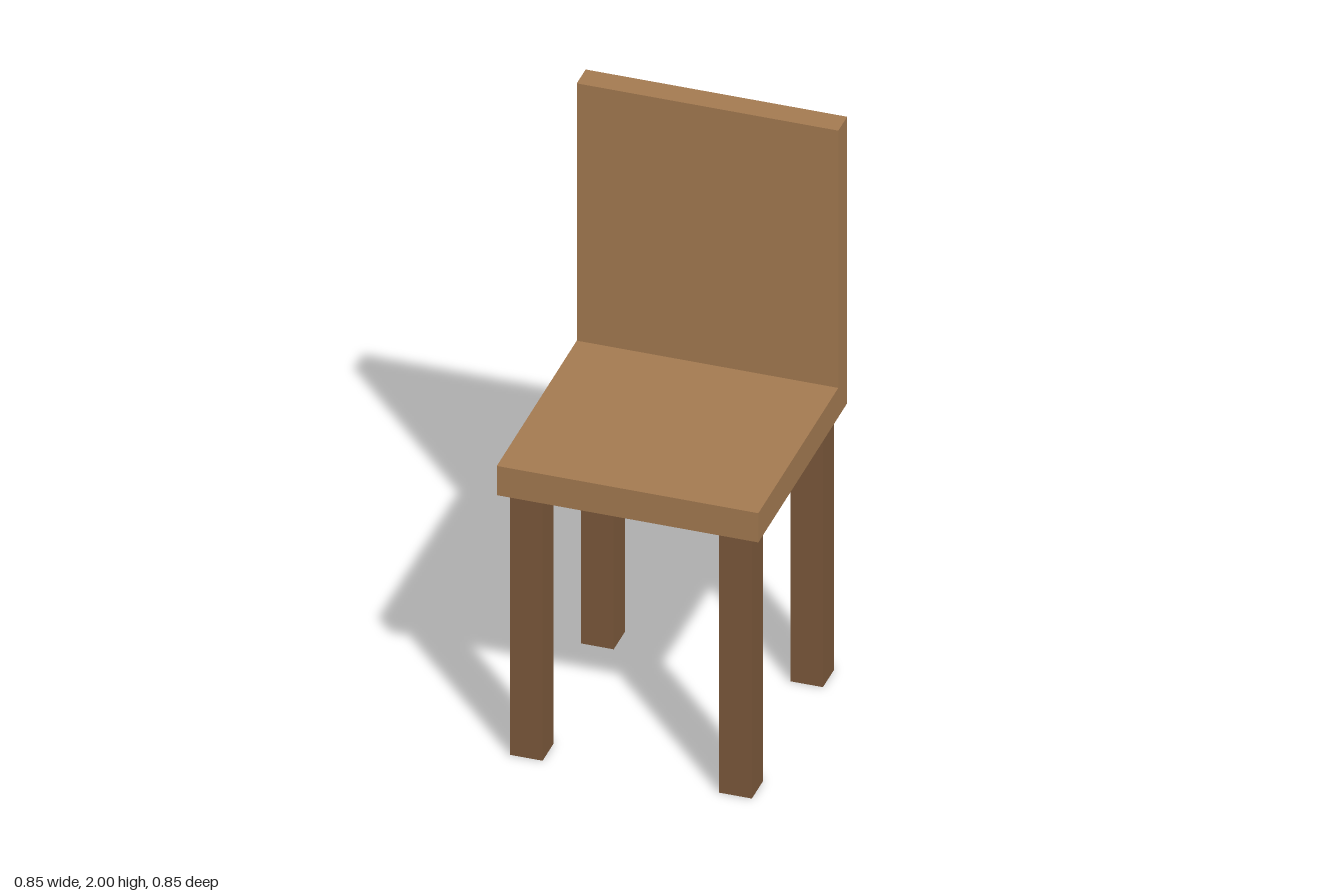
import * as THREE from 'three';

const HALF = 0.4255;       // half the seat width and depth
const LEG_HEIGHT = 0.9574;
const SEAT_TOP = 1.0638;
const BACK_FRONT = -0.3404; // front face of the backrest
const LEG_WIDTH = 0.1064;
const LEG_OFFSET = 0.3404;

export function createModel() {
  const lightWood = new THREE.MeshStandardMaterial({ color: 0xa67c52 });
  lightWood.name = 'light wood';
  const darkWood = new THREE.MeshStandardMaterial({ color: 0x7d5a3c });
  darkWood.name = 'dark wood';

  const chair = new THREE.Group();
  chair.name = 'chair';

  // Seat and backrest: one L-shaped side profile (z, y) extruded across x
  const profile = new THREE.Shape([
    [-HALF, LEG_HEIGHT], [HALF, LEG_HEIGHT], [HALF, SEAT_TOP],
    [BACK_FRONT, SEAT_TOP], [BACK_FRONT, 2], [-HALF, 2],
  ].map(([z, y]) => new THREE.Vector2(z, y)));
  const seatGeometry = new THREE.ExtrudeGeometry(profile, { depth: 2 * HALF, bevelEnabled: false });
  seatGeometry.rotateY(-Math.PI / 2).translate(HALF, 0, 0);
  const seat = new THREE.Mesh(seatGeometry, lightWood);
  seat.name = 'seatAndBackrest';
  chair.add(seat);

  // Four square legs, slightly inset from the seat corners
  const legGeometry = new THREE.BoxGeometry(LEG_WIDTH, LEG_HEIGHT, LEG_WIDTH);
  for (const [side, x] of [['Left', LEG_OFFSET], ['Right', -LEG_OFFSET]]) {
    for (const [end, z] of [['front', LEG_OFFSET], ['back', -LEG_OFFSET]]) {
      const leg = new THREE.Mesh(legGeometry, darkWood);
      leg.name = `${end}${side}Leg`;
      leg.position.set(x, LEG_HEIGHT / 2, z);
      chair.add(leg);
    }
  }
  return chair;
}
